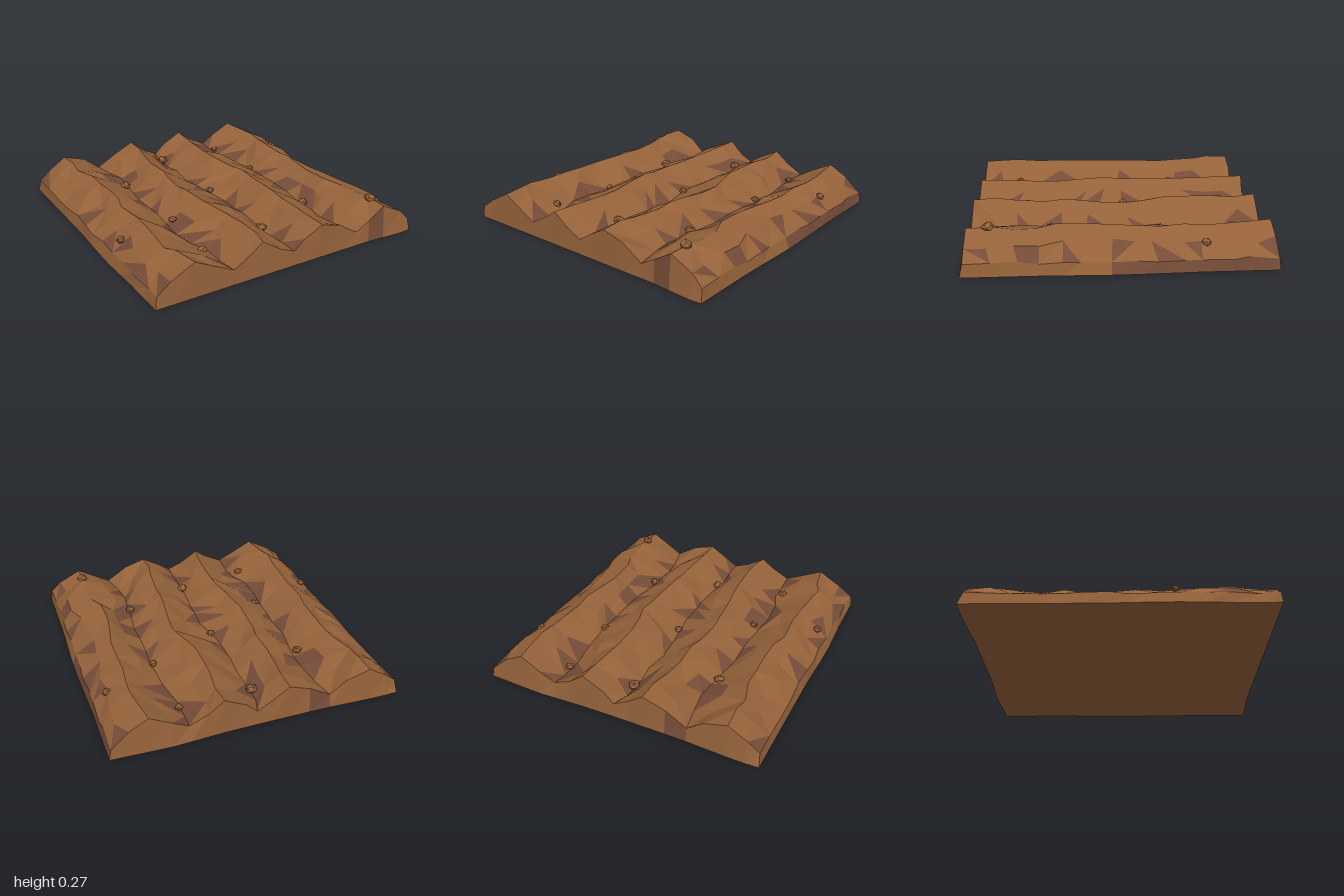
import * as THREE from 'three';

const soil = new THREE.MeshStandardMaterial({ color: 0x95623a });
soil.name = 'soilBrown';
const damp = new THREE.MeshStandardMaterial({ color: 0x754c38 });
damp.name = 'dampSoil';

// Seeded random numbers
function seeded(seed) {
  return () => {
    seed = (seed * 1664525 + 1013904223) % 4294967296;
    return seed / 4294967296;
  };
}

// Cross-section of the four ridges: [x, height]
const PROFILE = [
  [-0.97, 0.08], [-0.86, 0.16], [-0.74, 0.225], [-0.61, 0.17], [-0.48, 0.095],
  [-0.36, 0.16], [-0.23, 0.225], [-0.12, 0.165], [0, 0.1],
  [0.12, 0.17], [0.25, 0.23], [0.37, 0.17], [0.49, 0.1],
  [0.61, 0.165], [0.74, 0.225], [0.86, 0.16], [0.97, 0.08],
];
const COLS = PROFILE.length - 1;
const ROWS = 13;

const wander = (x, z) => 0.025 * Math.sin(z * 4.2 + x * 5) + 0.012 * Math.sin(z * 9 + x * 11);
const swell = (z) => 0.016 * z * z - 0.006;

// Undisturbed ground height, used to seat the clods
function groundHeight(x, z) {
  const px = x - wander(x, z) * (1 - Math.abs(x));
  let i = 0;
  while (i < COLS - 1 && PROFILE[i + 1][0] < px) i++;
  const [x0, y0] = PROFILE[i], [x1, y1] = PROFILE[i + 1];
  return y0 + (y1 - y0) * THREE.MathUtils.clamp((px - x0) / (x1 - x0), 0, 1);
}

function facetedMesh(name, positions, material) {
  const geo = new THREE.BufferGeometry();
  geo.setAttribute('position', new THREE.Float32BufferAttribute(positions, 3));
  geo.computeVertexNormals();
  const mesh = new THREE.Mesh(geo, material);
  mesh.name = name;
  return mesh;
}

function createField() {
  const rand = seeded(41);
  const jitter = (a) => (rand() * 2 - 1) * a;
  const soilTris = [], dampTris = [];
  const tri = (a, b, c, isDamp) => (isDamp ? dampTris : soilTris).push(...a, ...b, ...c);

  // Ridged surface grid
  const grid = [];
  for (let j = 0; j <= ROWS; j++) {
    const row = [];
    for (let i = 0; i <= COLS; i++) {
      const sideEdge = i === 0 || i === COLS, endEdge = j === 0 || j === ROWS;
      const z0 = -0.97 + (1.94 * j) / ROWS;
      const crest = i % 4 === 2, slope = i % 2 === 1;
      const x = PROFILE[i][0] + (sideEdge ? jitter(0.008) : wander(PROFILE[i][0], z0) + jitter(slope ? 0.03 : 0.014));
      const z = z0 + (endEdge ? jitter(0.007) : jitter(0.04));
      const y = PROFILE[i][1] + (crest ? swell(z0) : 0) + jitter(slope ? 0.02 : 0.01);
      row.push([x, y, z]);
    }
    grid.push(row);
  }
  // Damp patches gather in the furrows and along the outer edges
  const isDamp = (...p) => {
    const y = (p[0][1] + p[1][1] + p[2][1]) / 3;
    return y < 0.137 && rand() < 0.42;
  };
  for (let j = 0; j < ROWS; j++) {
    for (let i = 0; i < COLS; i++) {
      const a = grid[j][i], b = grid[j + 1][i], c = grid[j + 1][i + 1], d = grid[j][i + 1];
      if (rand() < 0.5) {
        tri(a, b, c, isDamp(a, b, c));
        tri(a, c, d, isDamp(a, c, d));
      } else {
        tri(a, b, d, isDamp(a, b, d));
        tri(b, c, d, isDamp(b, c, d));
      }
    }
  }

  // Outline of the slab: front, right, back, left
  const bump = (t, at, w) => Math.max(0, 1 - Math.abs(t - at) / w);
  const rim = [];
  for (let i = 0; i < COLS; i++) rim.push(grid[ROWS][i]);
  for (let j = ROWS; j > 0; j--) rim.push(grid[j][COLS]);
  for (let i = COLS; i > 0; i--) rim.push(grid[0][i]);
  for (let j = 0; j < ROWS; j++) rim.push(grid[j][0]);
  const foot = rim.map(([x, , z]) => {
    let fx = x, fz = z;
    if (x > 0.95) fx = 0.985 + 0.015 * bump(z, 0, 0.5);
    if (x < -0.95) fx = -0.985 - 0.015 * bump(z, 0.3, 0.4);
    if (z > 0.955) fz = 0.98 + 0.02 * bump(x, 0.88, 0.25);
    if (z < -0.955) fz = -0.982 - 0.018 * Math.max(bump(x, 0.6, 0.4), bump(x, -0.85, 0.4));
    return [fx, 0, fz];
  });

  // Sloping sides and flat underside
  rim.forEach((top, k) => {
    const n = (k + 1) % rim.length;
    const mx = (top[0] + rim[n][0]) / 2, mz = (top[2] + rim[n][2]) / 2;
    let patch = rand() < 0.12;
    if (mz > 0.94) patch = mx > 0.62 && mx < 0.82;
    else if (mx > 0.94) patch = mz < 0;
    tri(foot[k], foot[n], rim[n], patch);
    tri(foot[k], rim[n], top, patch);
    tri([0, 0, 0], foot[n], foot[k], false);
  });

  const field = new THREE.Group();
  field.name = 'ploughedField';
  field.add(facetedMesh('ridges', soilTris, soil), facetedMesh('dampPatches', dampTris, damp));
  return field;
}

// Loose clods: [x, z, radius]
const CLODS = [
  [-0.02, -0.77, 0.045], [0.48, -0.78, 0.029], [-0.49, -0.47, 0.038], [0.88, -0.53, 0.034],
  [0.5, -0.28, 0.031], [0.01, -0.07, 0.031], [-0.46, 0.22, 0.03], [-0.9, 0.34, 0.031],
  [0.47, 0.44, 0.036], [0, 0.61, 0.04], [-0.51, 0.7, 0.034], [0.745, 0.83, 0.04],
];

function createClod([x, z, r], index) {
  const rand = seeded(100 + index * 37);
  const geo = new THREE.IcosahedronGeometry(r, 0);
  const pos = geo.attributes.position;
  // Shared corners move together
  const moved = new Map();
  for (let i = 0; i < pos.count; i++) {
    const key = [pos.getX(i), pos.getY(i), pos.getZ(i)].map((v) => Math.round(v * 1e4)).join();
    if (!moved.has(key)) moved.set(key, 0.85 + rand() * 0.3);
    const s = moved.get(key);
    pos.setXYZ(i, pos.getX(i) * s, pos.getY(i) * s * 0.75, pos.getZ(i) * s);
  }
  geo.computeVertexNormals();
  const clod = new THREE.Mesh(geo, soil);
  clod.name = 'clod';
  clod.position.set(x, groundHeight(x, z) + r * 0.3, z);
  clod.rotation.y = rand() * Math.PI * 2;
  return clod;
}

export function createModel() {
  const model = new THREE.Group();
  model.name = 'fieldTile';
  const clods = new THREE.Group();
  clods.name = 'clods';
  CLODS.forEach((c, i) => clods.add(createClod(c, i)));
  model.add(createField(), clods);
  return model;
}
